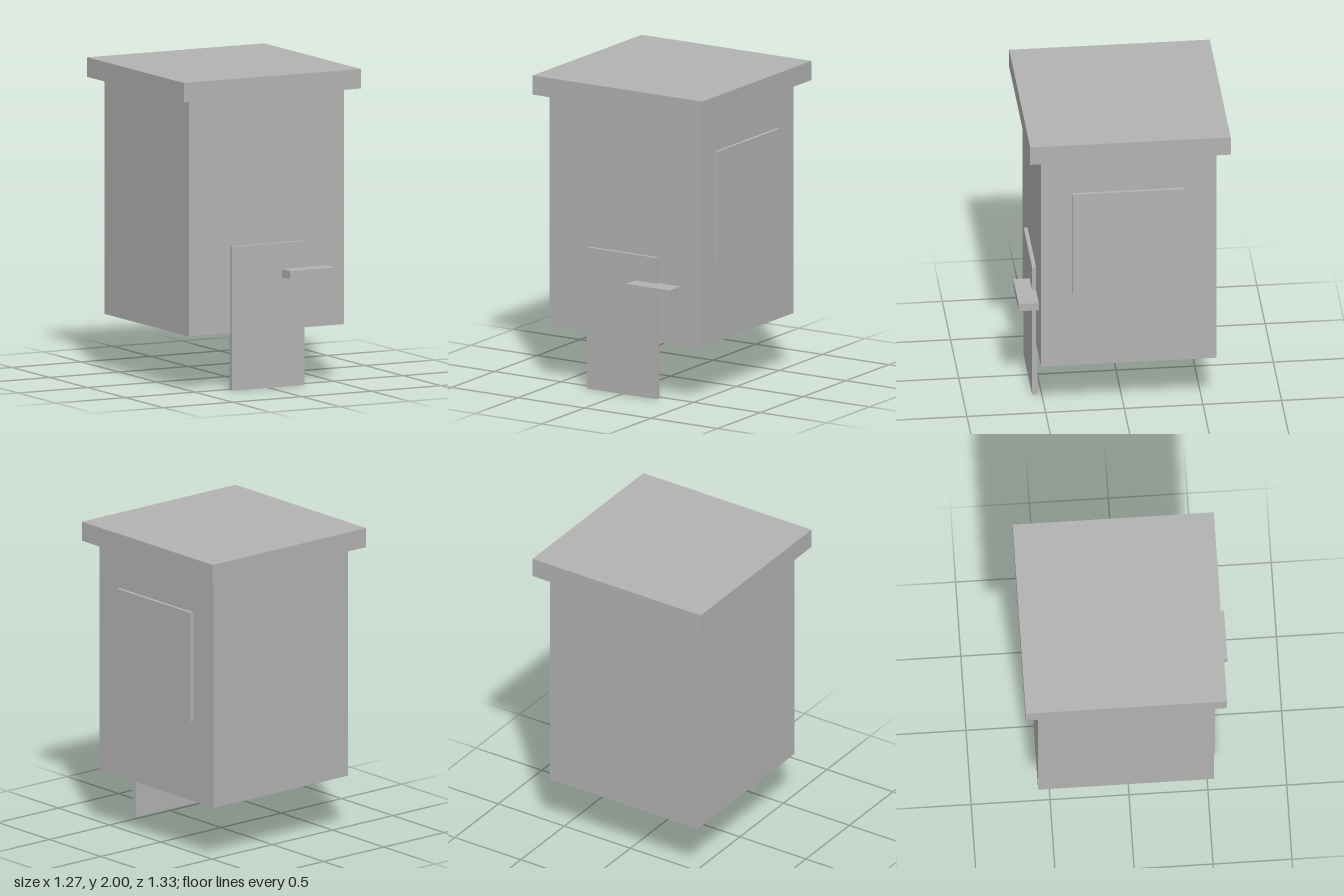
import * as THREE from 'three';

export function createModel() {
  const group = new THREE.Group();
  const grey = new THREE.MeshStandardMaterial({ color: 0xb2b2b2, side: THREE.DoubleSide });
  grey.name = 'plain grey';

  // Box given by its lower and upper corners
  function block(name, [x0, y0, z0], [x1, y1, z1]) {
    const geometry = new THREE.BoxGeometry(x1 - x0, y1 - y0, z1 - z0);
    geometry.translate((x0 + x1) / 2, (y0 + y1) / 2, (z0 + z1) / 2);
    const mesh = new THREE.Mesh(geometry, grey);
    mesh.name = name;
    group.add(mesh);
    return mesh;
  }

  // Thin-walled hut, open underneath: drop the bottom face (fourth of six)
  const body = block('body', [-0.561, 0.365, -0.58], [0.556, 1.877, 0.535]);
  const faces = Array.from(body.geometry.index.array);
  faces.splice(18, 6);
  body.geometry.setIndex(faces);
  body.geometry.clearGroups();

  // Overhanging flat roof
  block('roof', [-0.64, 1.875, -0.663], [0.635, 2, 0.612]);

  // Front door reaching down to the ground, with its latch bar
  block('door', [-0.263, 0, 0.525], [0.259, 0.92, 0.56]);
  block('latch', [0.097, 0.7, 0.533], [0.424, 0.752, 0.663]);

  // Shutter on the left wall
  block('shutter', [0.55, 0.89, -0.382], [0.578, 1.61, 0.338]);

  return group;
}
